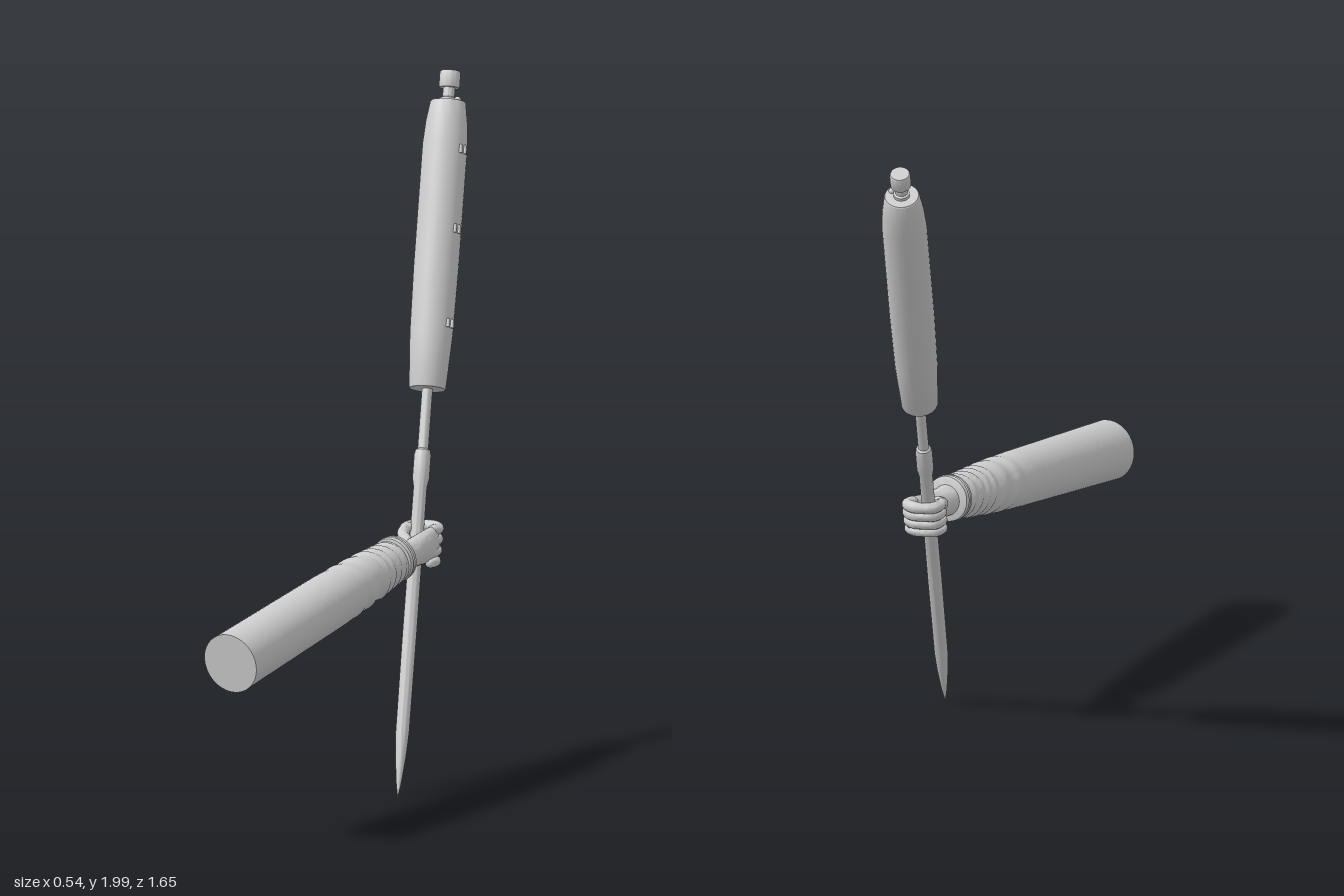
import * as THREE from 'three';
import { toCreasedNormals } from 'three/addons/utils/BufferGeometryUtils.js';

const V = (x, y, z) => new THREE.Vector3(x, y, z);
const smooth = THREE.MathUtils.smoothstep;

// The umbrella runs from the spike tip up to the knob
const TIP = V(0.2, 0.005, 0.033);
const DIR = V(-0.435, 1.97, -0.823).normalize();

// Piecewise linear lookup over [t, value] pairs
function lookup(pairs, t) {
  for (let i = 1; i < pairs.length; i++) {
    const [t0, a] = pairs[i - 1], [t1, b] = pairs[i];
    if (t <= t1) return a + (b - a) * (t - t0) / (t1 - t0);
  }
  return pairs[pairs.length - 1][1];
}

// Capped skin of cross-sections along a curve; size(t, angle) gives [across, upward] half-widths
function loft(curve, size, up, rings, sides) {
  const pos = [], idx = [];
  for (let i = 0; i <= rings; i++) {
    const t = i / rings, c = curve.getPoint(t), tan = curve.getTangent(t);
    const side = V().crossVectors(up, tan).normalize();
    const top = V().crossVectors(tan, side);
    for (let j = 0; j < sides; j++) {
      const a = j / sides * Math.PI * 2, [w, h] = size(t, a);
      const p = c.clone().addScaledVector(side, Math.cos(a) * w).addScaledVector(top, Math.sin(a) * h);
      pos.push(p.x, p.y, p.z);
      if (i < rings) {
        const k = (j + 1) % sides, A = i * sides + j, B = i * sides + k;
        idx.push(A, B, A + sides, B, B + sides, A + sides);
      }
    }
  }
  const n = pos.length / 3;
  for (const t of [0, 1]) pos.push(...curve.getPoint(t).toArray());
  for (let j = 0; j < sides; j++) {
    const k = (j + 1) % sides, e = rings * sides;
    idx.push(n, k, j, n + 1, e + j, e + k);
  }
  const g = new THREE.BufferGeometry();
  g.setAttribute('position', new THREE.Float32BufferAttribute(pos, 3));
  g.setIndex(idx);
  return toCreasedNormals(g, 0.9);
}

export function createModel() {
  const model = new THREE.Group();
  const grey = new THREE.MeshStandardMaterial({ color: 0xcccccc });
  grey.name = 'plain grey';

  const add = (parent, name, geometry) => {
    const mesh = new THREE.Mesh(geometry, grey);
    mesh.name = name;
    parent.add(mesh);
    return mesh;
  };
  const lathe = (name, points) => add(umbrella, name, toCreasedNormals(
    new THREE.LatheGeometry(points.map(([r, y]) => new THREE.Vector2(r, y)), 32), 0.5));

  // Closed umbrella, built along its own y axis and then tilted
  const umbrella = new THREE.Group();
  umbrella.name = 'umbrella';
  umbrella.position.copy(TIP);
  umbrella.quaternion.setFromUnitVectors(V(0, 1, 0), DIR);
  model.add(umbrella);

  lathe('spikeAndShaft', [[0, 0], [0.008, 0.05], [0.016, 0.13], [0.02, 0.2], [0.021, 0.5],
    [0.02, 0.94], [0.025, 0.965], [0.025, 1.035], [0.022, 1.05], [0.016, 1.055], [0.016, 1.25]]);
  lathe('canopy', [[0, 1.235], [0.053, 1.235], [0.055, 1.24], [0.064, 1.4], [0.067, 1.6],
    [0.067, 1.97], [0.062, 2.04], [0.053, 2.098], [0.05, 2.102], [0, 2.102]]);
  lathe('topNeck', [[0.024, 2.1], [0.024, 2.112], [0.018, 2.115], [0.018, 2.15]]);
  lathe('topKnob', [[0, 2.143], [0.029, 2.143], [0.031, 2.147], [0.031, 2.187],
    [0.028, 2.193], [0, 2.193]]);

  // Small catch beside the neck
  add(umbrella, 'topCatch', new THREE.SphereGeometry(0.011, 12, 8)).position.set(0.034, 2.104, 0);

  // Pairs of snaps down the side of the canopy
  for (const y of [1.43, 1.715, 1.955]) {
    for (const z of [-0.01, 0.01]) {
      const snap = add(umbrella, 'canopySnap', new THREE.CylinderGeometry(0.005, 0.006, 0.026, 10));
      snap.position.set(0.067, y, z);
    }
  }

  // Flat panel on the front of the canopy
  add(umbrella, 'canopyPanel', new THREE.CylinderGeometry(0.0685, 0.0685, 0.25, 8, 1, true, -0.3, 0.6))
    .position.y = 1.7;

  // Sleeve: plain tube that gathers into folds towards the wrist
  const arm = new THREE.Group();
  arm.name = 'arm';
  model.add(arm);
  const UP = V(0, 1, 0);
  const sleeveLine = new THREE.LineCurve3(V(0.174, 0.575, 0.8125), V(0.099, 0.695, -0.08));
  const sleeveRadius = [[0, 0.091], [0.6, 0.085], [0.8, 0.077], [0.93, 0.068], [1, 0.062]];
  add(arm, 'sleeve', loft(sleeveLine, (t, a) => {
    const diagonal = smooth(t, 0.62, 0.72) * (1 - smooth(t, 0.82, 0.88));
    const gathered = smooth(t, 0.78, 0.88);
    const r = lookup(sleeveRadius, t)
      + 0.0022 * diagonal * Math.sin(t * 80 + 2.5 * Math.sin(a + 0.6))
      + 0.0028 * gathered * Math.sin(t * 165 + 1.1 * Math.sin(2 * a));
    return [r, r];
  }, UP, 150, 48));

  // Cuff: two rolled bands
  const cuffSides = [[0, 0.06], [0.08, 0.068], [0.4, 0.07], [0.48, 0.066], [0.52, 0.066],
    [0.6, 0.07], [0.92, 0.068], [1, 0.06]];
  add(arm, 'cuff', loft(new THREE.LineCurve3(V(0.1, 0.695, -0.066), V(0.097, 0.699, -0.102)),
    t => { const r = lookup(cuffSides, t); return [r, r]; }, UP, 25, 40));

  // Palm and wrist
  const hand = new THREE.Group();
  hand.name = 'hand';
  model.add(hand);
  const palmLine = new THREE.CatmullRomCurve3([V(0.098, 0.695, -0.085), V(0.099, 0.694, -0.14),
    V(0.094, 0.698, -0.2), V(0.094, 0.702, -0.255), V(0.096, 0.704, -0.295)]);
  const palmWidth = [[0, 0.047], [0.35, 0.038], [0.6, 0.031], [0.85, 0.025], [1, 0.012]];
  const palmHeight = [[0, 0.048], [0.35, 0.042], [0.6, 0.048], [0.85, 0.054], [1, 0.038]];
  add(hand, 'palm', loft(palmLine, t => [lookup(palmWidth, t), lookup(palmHeight, t)], UP, 28, 28));

  // Round-ended finger with slight swelling at the joints
  const digit = (name, points, r) => add(hand, name, loft(new THREE.CatmullRomCurve3(points), t => {
    const end = Math.sqrt(Math.max(0, 1 - Math.pow(Math.abs(2 * t - 1), 12)));
    const s = r * (1.04 - 0.16 * t + 0.06 * Math.cos(t * 19)) * Math.max(end, 0.02);
    return [s, s];
  }, DIR, 36, 14));

  // Four fingers curled round the shaft, stacked along it
  const curl = [[0.1, -0.245], [0.1, -0.29], [0.06, -0.3], [0.02, -0.278], [0.017, -0.235], [0.038, -0.212]];
  [-0.05, -0.017, 0.017, 0.049].forEach((s, i) => {
    const points = curl.map(([x, z]) => V(x, 0.699, z).addScaledVector(DIR, s));
    digit('finger', points, [0.0155, 0.017, 0.018, 0.0175][i]);
  });

  // Thumb crossing the front of the shaft
  digit('thumb', [V(0.088, 0.706, -0.155), V(0.065, 0.72, -0.19), V(0.033, 0.732, -0.212),
    V(0.015, 0.74, -0.245), V(0.018, 0.747, -0.275)], 0.0185);

  return model;
}
